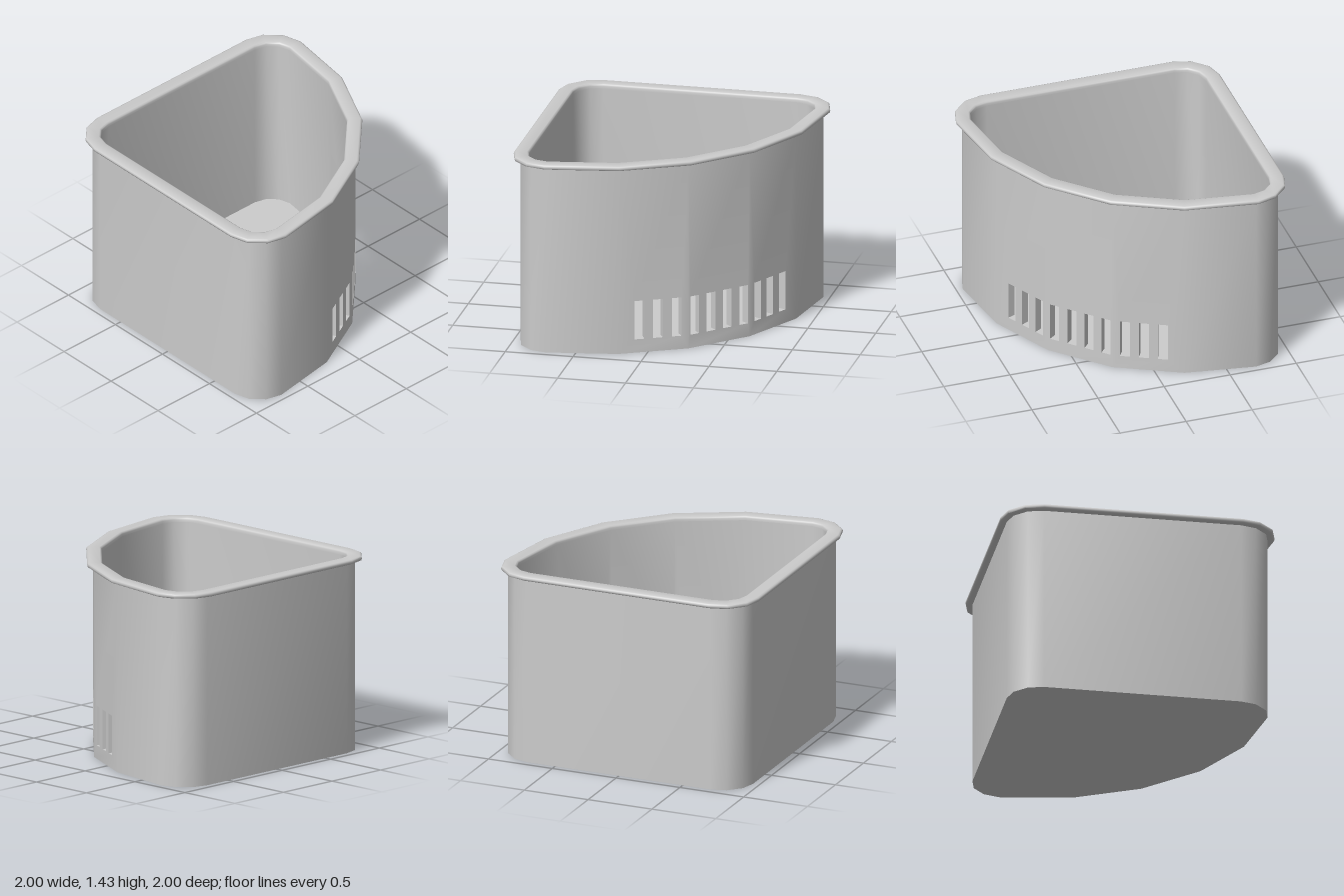
import * as THREE from 'three';
import { mergeGeometries, toCreasedNormals } from 'three/addons/utils/BufferGeometryUtils.js';

const C = 0.71, R = 1.6, CORNER = 0.18;      // arc centre offset, big radius, corner radius
const WALL = 0.06, WALL_TOP = 1.4, FLOOR = 0.06;
const rad = THREE.MathUtils.degToRad;
const material = new THREE.MeshStandardMaterial({ color: 0xcccccc });

// Inner outline in (x, z): faceted quarter arc, then three rounded corners
function outline() {
  const pts = [];
  const arc = (cx, cz, r, from, to, step) => {
    const n = Math.round((to - from) / step);
    for (let i = 0; i <= n; i++) {
      const a = rad(from + i * step);
      pts.push(new THREE.Vector2(cx + r * Math.cos(a), cz + r * Math.sin(a)));
    }
  };
  arc(-C, C, R, -90, 0, 18);
  arc(C, C, CORNER, 30, 90, 30);
  arc(-C, C, CORNER, 90, 180, 30);
  arc(-C, -C, CORNER, 180, 240, 30);
  return pts;
}

// Mitred outward offset of a closed outline
function offset(pts, d) {
  const n = pts.length;
  const normal = (a, b) => new THREE.Vector2(b.y - a.y, a.x - b.x).normalize();
  return pts.map((p, i) => {
    const n1 = normal(pts[(i + n - 1) % n], p), n2 = normal(p, pts[(i + 1) % n]);
    return n1.clone().add(n2).multiplyScalar(d / (1 + n1.dot(n2))).add(p);
  });
}

function rect(target, x0, x1, y0, y1) {
  target.moveTo(x0, y0).lineTo(x1, y0).lineTo(x1, y1).lineTo(x0, y1).closePath();
  return target;
}

// One wall facet, with vent slots cut through at the given positions
function panel(inner, outer, i, slots) {
  const k = (i + 1) % inner.length;
  const shape = rect(new THREE.Shape(), 0, 1, 0, WALL_TOP);
  slots.forEach(u => shape.holes.push(rect(new THREE.Path(), u - 0.07, u + 0.07, 0.1, 0.39)));
  const geo = new THREE.ExtrudeGeometry(shape, { depth: 1, bevelEnabled: false });
  const pos = geo.attributes.position;
  for (let v = 0; v < pos.count; v++) {
    const from = inner[k].clone().lerp(outer[k], pos.getZ(v));
    const to = inner[i].clone().lerp(outer[i], pos.getZ(v));
    const p = from.lerp(to, pos.getX(v));
    pos.setXYZ(v, p.x, pos.getY(v), p.y);
  }
  return geo;
}

// Closed loft of an (offset, height) profile around the outline
function loft(pts, profile) {
  const n = pts.length, m = profile.length, position = [], index = [];
  for (const [d, y] of profile) for (const p of offset(pts, d)) position.push(p.x, y, p.y);
  for (let j = 0; j < m; j++) for (let i = 0; i < n; i++) {
    const i2 = (i + 1) % n, j2 = (j + 1) % m;
    const a = j * n + i, b = j * n + i2, c = j2 * n + i2, d = j2 * n + i;
    index.push(a, b, c, a, c, d);
  }
  const geo = new THREE.BufferGeometry();
  geo.setAttribute('position', new THREE.Float32BufferAttribute(position, 3));
  geo.setIndex(index);
  return geo;
}

export function createModel() {
  const group = new THREE.Group();
  group.name = 'cornerTub';
  const add = (name, geo) => {
    const mesh = new THREE.Mesh(geo, material);
    mesh.name = name;
    group.add(mesh);
  };
  const inner = outline(), outer = offset(inner, WALL);

  // Ten vent slots evenly spaced by angle along the curved wall
  const slotAngles = Array.from({ length: 10 }, (_, i) => 23.4 + 4.8 * i);
  const panels = inner.map((_, i) => {
    const mid = 81 - 18 * i;
    const slots = i > 4 ? [] : slotAngles.filter(a => Math.abs(a - mid) < 9)
      .map(a => 0.5 + Math.tan(rad(a - mid)) / Math.tan(rad(9)) / 2);
    return panel(inner, outer, i, slots);
  });
  add('ventedWall', toCreasedNormals(mergeGeometries(panels), 0.6));

  // Floor plate inside the wall
  const floor = new THREE.ExtrudeGeometry(
    new THREE.Shape(inner.map(p => new THREE.Vector2(p.x, -p.y))),
    { depth: FLOOR, bevelEnabled: false });
  floor.rotateX(-Math.PI / 2);
  add('floor', floor);

  // Rolled rim overhanging the wall
  const rim = loft(inner, [
    [0, 1.395], [0, 1.415], [0.004, 1.425], [0.014, 1.43], [0.094, 1.43],
    [0.106, 1.425], [0.11, 1.413], [0.106, 1.4], [0.094, 1.395],
  ]);
  add('rim', toCreasedNormals(rim, 0.9));
  return group;
}
